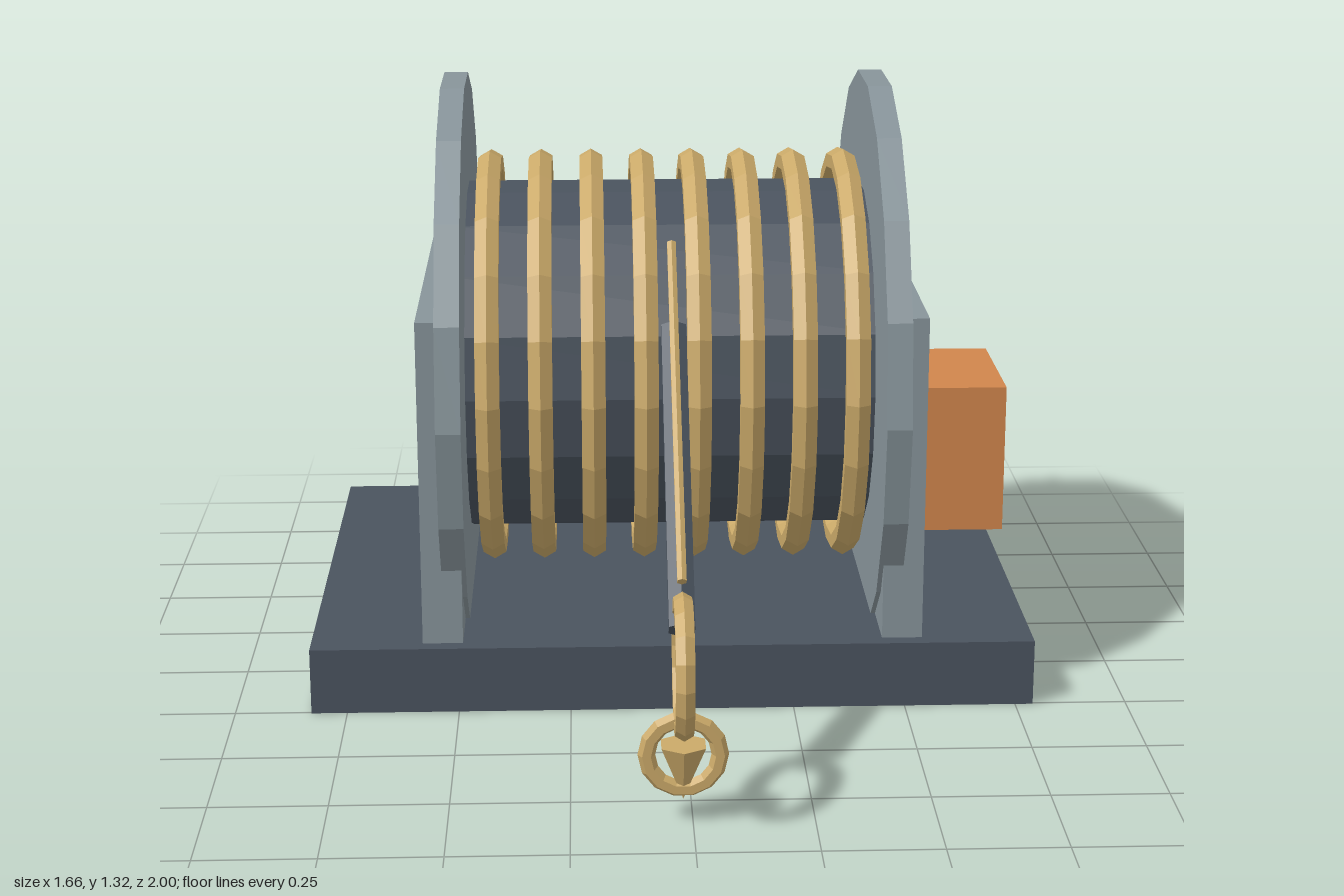
import * as THREE from 'three';

const mat = (name, color) => {
  const m = new THREE.MeshStandardMaterial({ color, flatShading: true });
  m.name = name;
  return m;
};

export function createModel() {
  const slate = mat('dark slate', 0x4a535e);
  const steel = mat('grey steel', 0x87949a);
  const gold = mat('rope gold', 0xcaa969);
  const orange = mat('motor orange', 0xd0854c);

  const group = new THREE.Group();
  group.name = 'winch';
  const CX = -0.02, AY = 0.67, AZ = -0.335; // drum centre and axle

  const add = (name, geometry, material, x, y, z) => {
    const mesh = new THREE.Mesh(geometry, material);
    mesh.name = name;
    mesh.position.set(x, y, z);
    group.add(mesh);
    return mesh;
  };
  const disc = (r, width) => new THREE.CylinderGeometry(r, r, width, 18).rotateZ(Math.PI / 2);

  // Straight rod between two points
  const rod = (name, a, b, r, sides, material) => {
    const dir = b.clone().sub(a);
    const mid = a.clone().add(b).multiplyScalar(0.5);
    const mesh = add(name, new THREE.CylinderGeometry(r, r, dir.length(), sides), material, mid.x, mid.y, mid.z);
    mesh.quaternion.setFromUnitVectors(new THREE.Vector3(0, 1, 0), dir.normalize());
  };

  add('base', new THREE.BoxGeometry(1.62, 0.15, 1.18), slate, CX, 0.075, AZ);

  // Drum with its end flanges and support plates
  add('drum', disc(0.41, 0.98), slate, CX, AY, AZ);
  for (const [side, s] of [['left', 1], ['right', -1]]) {
    add(side + 'Flange', disc(0.665, 0.055), steel, CX + s * 0.4875, AY, AZ);
    add(side + 'Support', new THREE.BoxGeometry(0.09, 0.74, 1.11), steel, CX + s * 0.515, 0.52, AZ);
  }

  // Wound cable
  for (let i = 0; i < 8; i++) {
    const coil = new THREE.TorusGeometry(0.456, 0.031, 6, 20).rotateY(Math.PI / 2);
    add('cableCoil', coil, gold, -0.429 + i * 0.118, AY, AZ);
  }

  add('motor', new THREE.BoxGeometry(0.29, 0.37, 0.37), orange, 0.685, 0.335, -0.705);

  // Boom and the free cable above it
  const v = (y, z) => new THREE.Vector3(CX, y, z);
  rod('boom', v(0.885, 0.262), v(0.387, 0.775), 0.031, 6, slate);
  rod('freeCable', v(1.04, 0.12), v(0.49, 0.772), 0.011, 6, gold);

  // Hook: large ring, small link and point
  add('hookRing', new THREE.TorusGeometry(0.128, 0.022, 6, 16).rotateY(Math.PI / 2), gold, CX, 0.338, 0.85);
  add('hookLink', new THREE.TorusGeometry(0.075, 0.018, 6, 14), gold, CX, 0.148, 0.85);
  add('hookPoint', new THREE.ConeGeometry(0.052, 0.12, 6).rotateX(Math.PI), gold, CX, 0.11, 0.85);

  return group;
}
